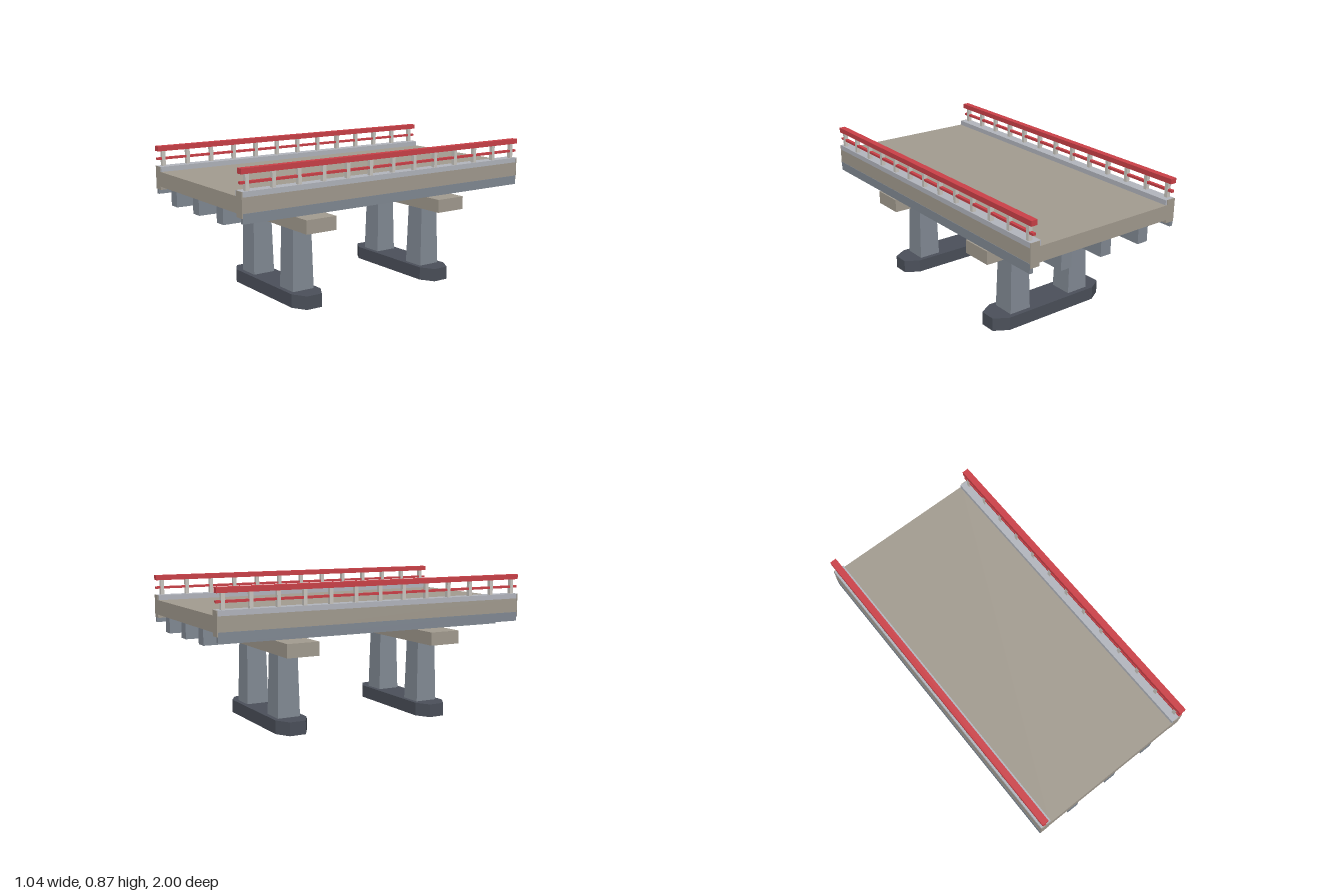
import * as THREE from 'three';

const material = (name, color, flatShading = false) => {
  const m = new THREE.MeshStandardMaterial({ color });
  m.name = name;
  m.flatShading = flatShading;
  return m;
};

export function createModel() {
  const concrete = material('warm concrete', 0xa39c90);
  const slate = material('slate concrete', 0x828a94, true);
  const footingDark = material('dark footing', 0x4b505a, true);
  const curbGrey = material('pale curb', 0xb3b6be);
  const red = material('railing red', 0xcc4148);
  const postGrey = material('post grey', 0xcac7c1);

  const bridge = new THREE.Group();
  bridge.name = 'bridge';

  const add = (parent, name, geometry, mat, x = 0, y = 0, z = 0) => {
    const mesh = new THREE.Mesh(geometry, mat);
    mesh.name = name;
    mesh.position.set(x, y, z);
    parent.add(mesh);
    return mesh;
  };
  // Box given by its limits on each axis
  const box = (parent, name, mat, x0, x1, y0, y1, z0, z1) =>
    add(parent, name, new THREE.BoxGeometry(x1 - x0, y1 - y0, z1 - z0), mat,
      (x0 + x1) / 2, (y0 + y1) / 2, (z0 + z1) / 2);

  // Road deck and the girders below it
  box(bridge, 'deck', concrete, -0.463, 0.463, 0.63, 0.72, -1, 1);
  for (const x of [-0.28, 0, 0.28]) {
    box(bridge, 'girder', slate, x - 0.036, x + 0.036, 0.54, 0.63, -1, 1);
  }

  // Edge beam, curb, skirt and railing on both sides
  for (const side of [-1, 1]) {
    const edge = new THREE.Group();
    edge.name = side > 0 ? 'leftEdge' : 'rightEdge';
    bridge.add(edge);
    const strip = (name, mat, inner, outer, y0, y1, z0, z1) =>
      box(edge, name, mat, Math.min(side * inner, side * outer),
        Math.max(side * inner, side * outer), y0, y1, z0, z1);

    strip('edgeBeam', concrete, 0.463, 0.52, 0.61, 0.72, -0.996, 0.996);
    strip('curb', curbGrey, 0.453, 0.52, 0.72, 0.75, -0.996, 0.996);
    strip('skirt', slate, 0.5, 0.522, 0.58, 0.635, -0.996, 0.996);
    strip('frontEndCap', concrete, 0.463, 0.522, 0.61, 0.75, 0.996, 1);
    strip('backEndCap', concrete, 0.463, 0.522, 0.61, 0.75, -1, -0.996);

    strip('topRail', red, 0.48, 0.52, 0.84, 0.87, -1, 1);
    strip('middleRail', red, 0.49, 0.51, 0.787, 0.801, -1, 1);
    for (let i = 0; i < 13; i++) {
      const z = -0.96 + i * 0.16;
      strip('railPost', postGrey, 0.488, 0.512, 0.75, 0.84, z - 0.011, z + 0.011);
    }
  }

  // Footing outline with chamfered ends
  const outline = new THREE.Shape([
    [-0.405, -0.05], [-0.32, -0.1], [0.32, -0.1], [0.405, -0.05],
    [0.405, 0.05], [0.32, 0.1], [-0.32, 0.1], [-0.405, 0.05],
  ].map(([x, y]) => new THREE.Vector2(x, y)));
  const footing = new THREE.ExtrudeGeometry(outline, { depth: 0.08, bevelEnabled: false });
  footing.rotateX(-Math.PI / 2);

  // Square tapered column
  const column = new THREE.CylinderGeometry(0.062 * Math.SQRT2, 0.071 * Math.SQRT2, 0.38, 4);
  column.rotateY(Math.PI / 4);

  // Two piers
  for (const z of [-0.48, 0.48]) {
    const pier = new THREE.Group();
    pier.name = z > 0 ? 'frontPier' : 'backPier';
    pier.position.z = z;
    bridge.add(pier);
    add(pier, 'footing', footing, footingDark);
    for (const x of [-0.22, 0.22]) add(pier, 'column', column, slate, x, 0.27, 0);
    box(pier, 'pierCap', concrete, -0.48, 0.48, 0.46, 0.54, -0.1, 0.1);
  }

  return bridge;
}
